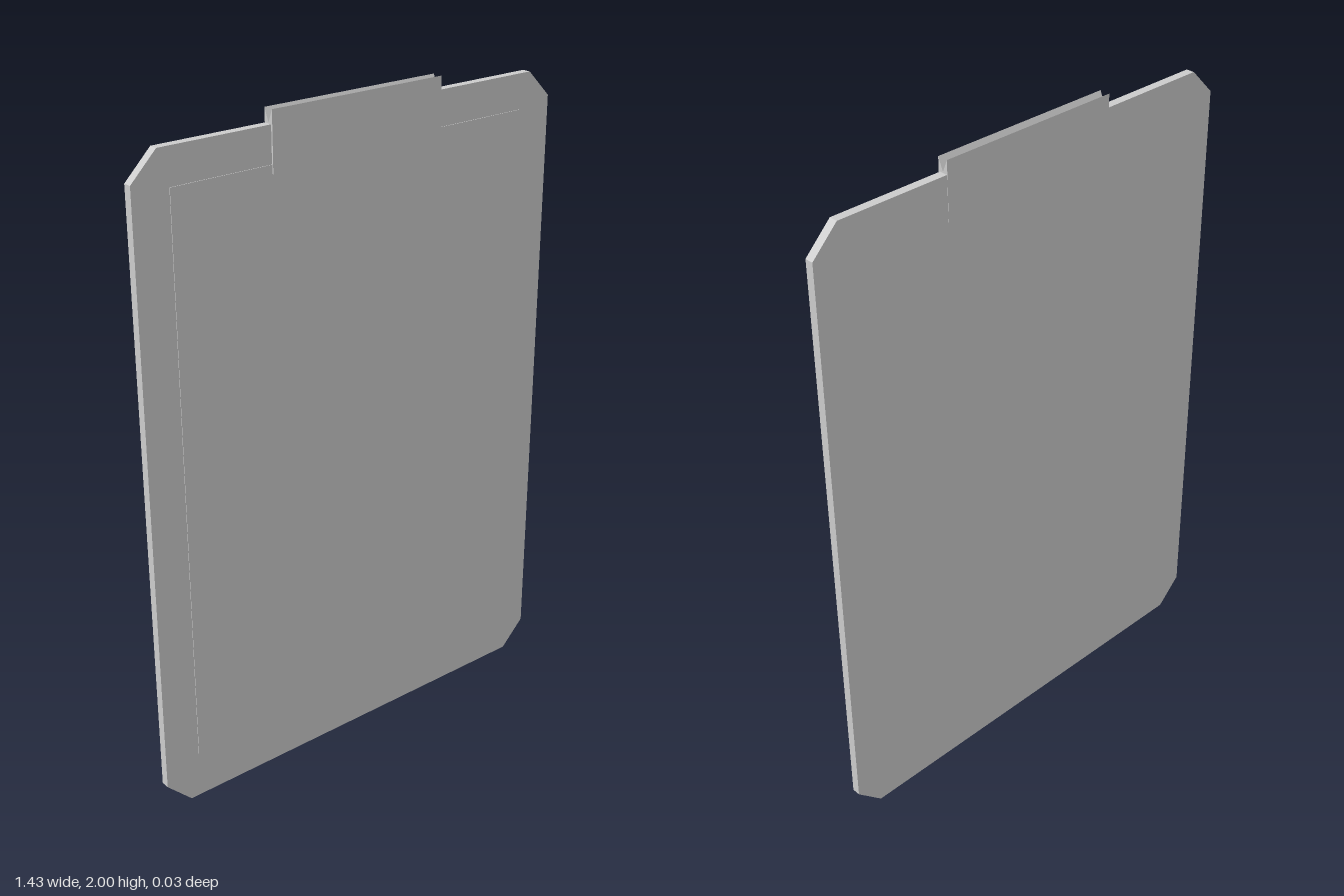
import * as THREE from 'three';

const material = new THREE.MeshStandardMaterial({ color: 0xcccccc, flatShading: true });

// Extrude a polygon outline by depth, starting at z = 0
function extrude(points, depth) {
  const shape = new THREE.Shape(points.map(([x, y]) => new THREE.Vector2(x, y)));
  return new THREE.ExtrudeGeometry(shape, { depth, bevelEnabled: false });
}

function addPart(group, name, geometry) {
  const mesh = new THREE.Mesh(geometry, material);
  mesh.name = name;
  group.add(mesh);
  return mesh;
}

export function createModel() {
  const group = new THREE.Group();
  group.name = 'clipboard';

  // Backing board with chamfered corners
  const w = 0.717, h = 1.96, c = 0.08;
  const board = addPart(group, 'board', extrude([
    [-w + c, 0], [w - c, 0], [w, c], [w, h - c],
    [w - c, h], [-w + c, h], [-w, h - c], [-w, c],
  ], 0.026));
  board.position.z = -0.015;

  // Thin sheet lying on the front of the board
  const bottom = 0.145, top = 1.855;
  const sheet = addPart(group, 'paperSheet', new THREE.BoxGeometry(1.21, top - bottom, 0.004));
  sheet.position.set(0, (bottom + top) / 2, 0.011);

  // Clip gripping both sides, with a V groove along its top edge
  const halfWidth = 0.29, t = 0.016;
  const clip = addPart(group, 'clip', extrude([
    [-t, 1.83], [t, 1.83], [t, 2], [0, 1.963], [-t, 2],
  ], halfWidth * 2));
  clip.rotation.y = -Math.PI / 2;
  clip.position.x = halfWidth;

  return group;
}
